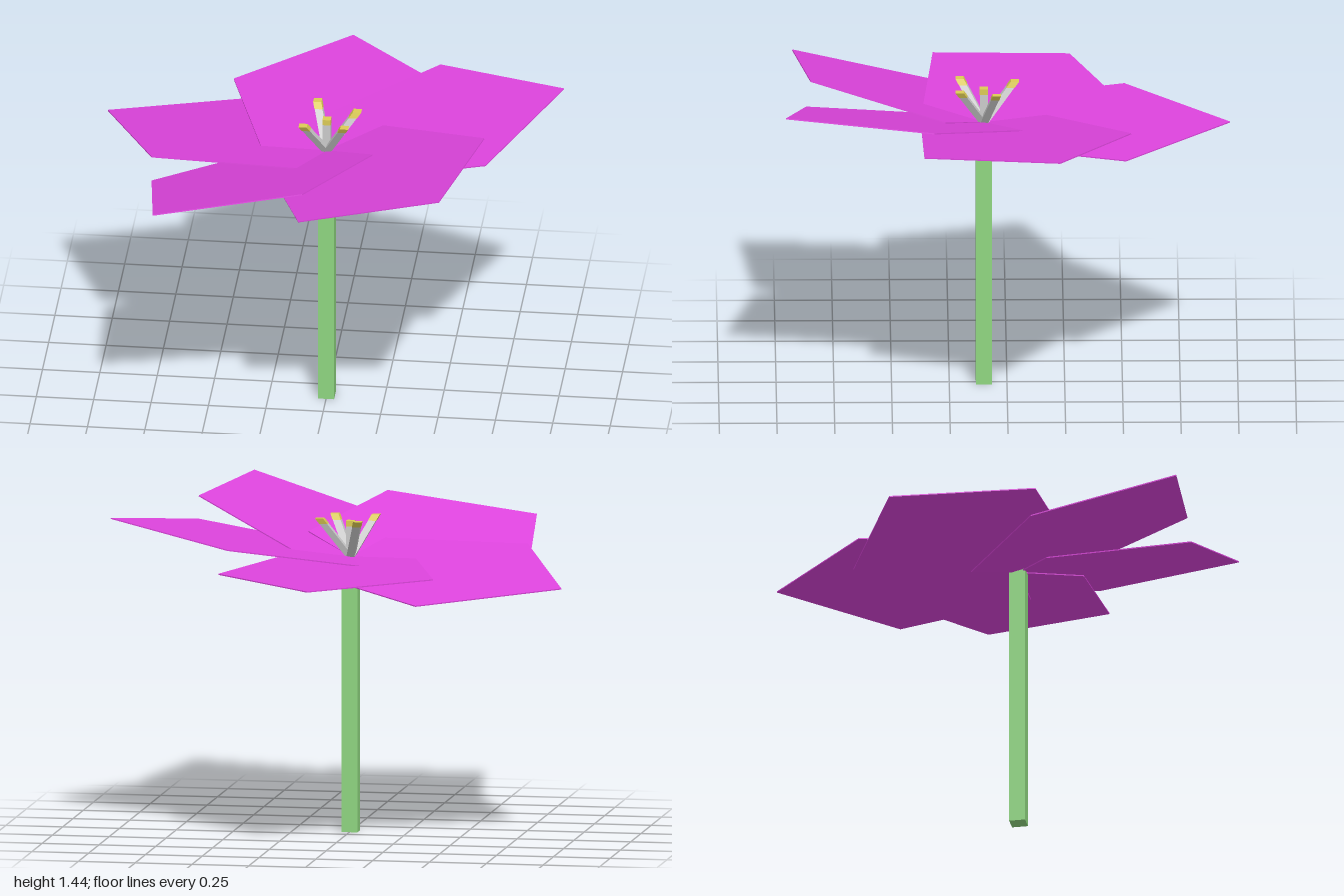
import * as THREE from 'three';

const HEART = new THREE.Vector3(0, 1.2, 0.1); // where stem, petals and stamens meet

const paint = (color) => new THREE.MeshStandardMaterial({ color, flatShading: true });

function addMesh(parent, name, geometry, material) {
  const mesh = new THREE.Mesh(geometry, material);
  mesh.name = name;
  parent.add(mesh);
  return mesh;
}

// Thin five-cornered petal: flat base at the origin, tip along +y
function petalGeometry() {
  const shape = new THREE.Shape([
    [-0.285, 0], [0.285, 0], [0.472, 0.612], [0, 1.066], [-0.472, 0.612],
  ].map(([x, y]) => new THREE.Vector2(x, y)));
  const thickness = 0.005;
  return new THREE.ExtrudeGeometry(shape, { depth: thickness, bevelEnabled: false })
    .translate(0, 0, -thickness / 2);
}

// Square rod leaning by (dx, dz) per unit of height, with level ends
function leaningRod(width, y0, y1, dx, dz) {
  const geometry = new THREE.BoxGeometry(width, y1 - y0, width).translate(0, (y0 + y1) / 2, 0);
  const p = geometry.attributes.position;
  for (let i = 0; i < p.count; i++) {
    const y = p.getY(i);
    p.setX(i, p.getX(i) + dx * y);
    p.setZ(i, p.getZ(i) + dz * y);
  }
  geometry.computeVertexNormals();
  return geometry;
}

export function createModel() {
  const flower = new THREE.Group();
  flower.name = 'flower';

  // Stem
  addMesh(flower, 'stem', new THREE.BoxGeometry(0.07, 1.2, 0.07), paint(0x8fd680))
    .position.set(0, 0.6, HEART.z);

  // Petals: direction to the tip, and sideways direction (gives the roll)
  const petals = new THREE.Group();
  petals.name = 'petals';
  petals.position.copy(HEART);
  flower.add(petals);
  const petalShape = petalGeometry();
  const pink = paint(0xdd44dd);
  const poses = [
    ['backPetal', [0, 0, -1.066], [1, 0, 0]],
    ['leftPetal', [1, 0.19, -0.325], [-0.313, 0, -0.963]],
    ['frontLeftPetal', [0.58, 0.24, 0.86], [0.378, 0.08, -0.278]],
    ['frontRightPetal', [-0.67, 0.085, 0.825], [0.3625, 0.13, 0.255]],
    ['rightPetal', [-1, -0.06, -0.38], [0.175, -0.077, -0.43]],
  ];
  for (const [name, tip, side] of poses) {
    const up = new THREE.Vector3(...tip).normalize();
    const across = new THREE.Vector3(...side);
    across.addScaledVector(up, -across.dot(up)).normalize();
    const normal = across.clone().cross(up);
    addMesh(petals, name, petalShape, pink)
      .setRotationFromMatrix(new THREE.Matrix4().makeBasis(across, up, normal));
  }

  // Stamens: one upright, four leaning outwards, each with a yellow cap
  const stamens = new THREE.Group();
  stamens.name = 'stamens';
  stamens.position.copy(HEART);
  flower.add(stamens);
  const grey = paint(0xcccccc);
  const yellow = paint(0xdccb55);
  const tips = [[0, 0, 0.16], [-0.055, -0.135, 0.175], [0.127, -0.055, 0.175],
    [-0.093, 0.105, 0.175], [0.088, 0.105, 0.175]];
  for (const [x, z, height] of tips) {
    const neck = height - 0.025;
    addMesh(stamens, 'filament', leaningRod(0.034, 0, neck, x / height, z / height), grey);
    addMesh(stamens, 'anther', leaningRod(0.036, neck, height, x / height, z / height), yellow);
  }
  return flower;
}
